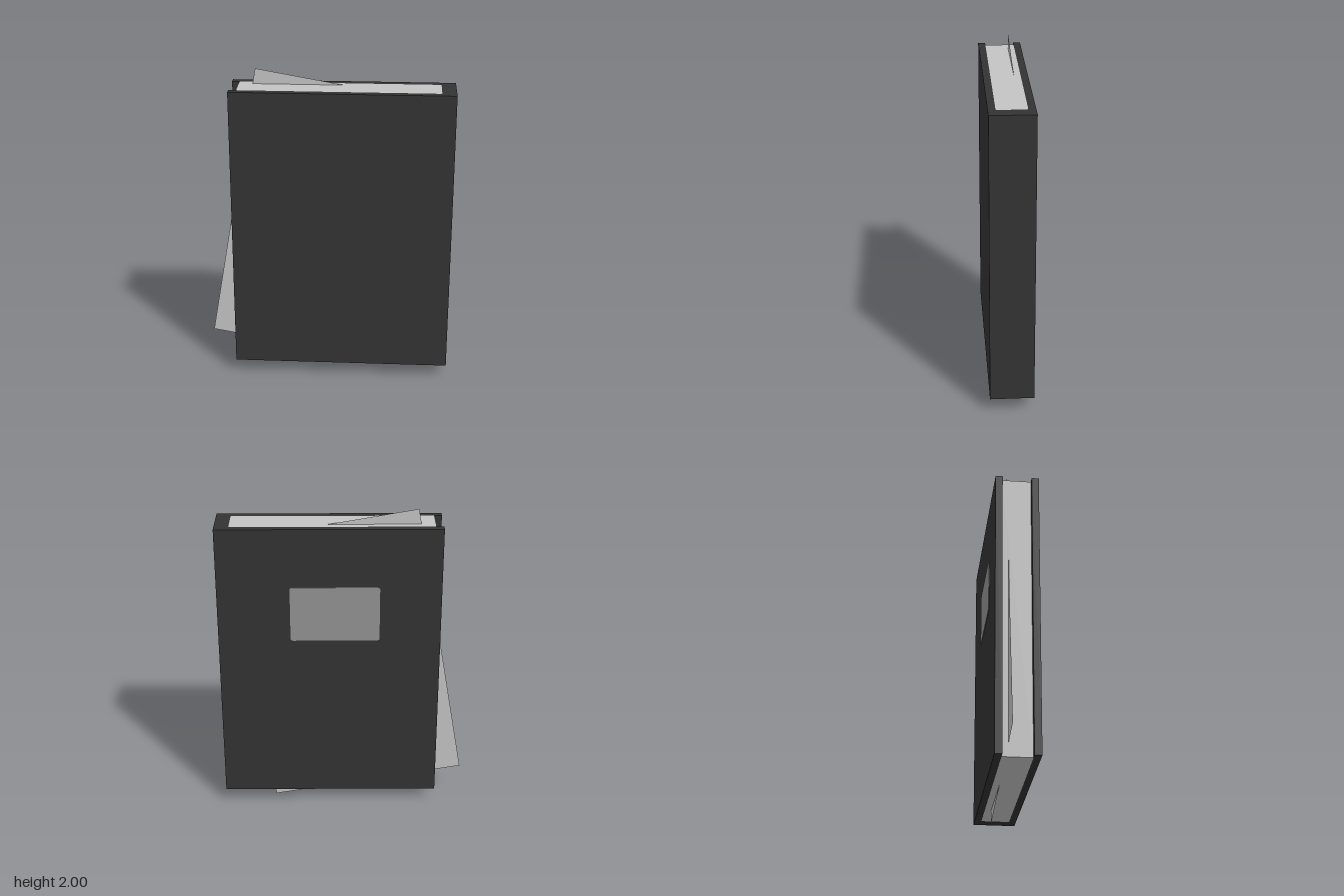
import * as THREE from 'three';

const HEIGHT = 1.814, BASE = 0.09;          // book body
const LEFT = -0.6, RIGHT = 0.76, DEPTH = 0.134;
const PAGE_LEFT = -0.555, PAGE_RIGHT = 0.672, PAGE_DEPTH = 0.09, CORNER = 0.012;

// Plan outline (x, -z) extruded upwards over the book height
function extrudeUp(shape) {
  const geo = new THREE.ExtrudeGeometry(shape, { depth: HEIGHT, bevelEnabled: false, curveSegments: 4 });
  return geo.rotateX(-Math.PI / 2).translate(0, BASE, 0);
}

// Rounded spine end shared by the page block and the inside of the cover
function spineEnd(shape) {
  shape.lineTo(PAGE_RIGHT - CORNER, -PAGE_DEPTH);
  shape.quadraticCurveTo(PAGE_RIGHT, -PAGE_DEPTH, PAGE_RIGHT, -PAGE_DEPTH + CORNER);
  shape.lineTo(PAGE_RIGHT, PAGE_DEPTH - CORNER);
  shape.quadraticCurveTo(PAGE_RIGHT, PAGE_DEPTH, PAGE_RIGHT - CORNER, PAGE_DEPTH);
}

function roundedRect(w, h, r) {
  const s = new THREE.Shape(), x = w / 2, y = h / 2;
  s.absarc(x - r, y - r, r, 0, Math.PI / 2);
  s.absarc(-x + r, y - r, r, Math.PI / 2, Math.PI);
  s.absarc(-x + r, -y + r, r, Math.PI, Math.PI * 1.5);
  s.absarc(x - r, -y + r, r, Math.PI * 1.5, Math.PI * 2);
  return s;
}

export function createModel() {
  const group = new THREE.Group();
  group.name = 'book';

  const material = (name, color, side = THREE.FrontSide) => {
    const m = new THREE.MeshStandardMaterial({ color, side });
    m.name = name;
    return m;
  };
  const coverBlack = material('coverBlack', 0x333333);
  const paper = material('paper', 0xc4c4c4, THREE.DoubleSide);
  const labelGrey = material('labelGrey', 0x939393);

  const add = (name, geometry, mat) => {
    const mesh = new THREE.Mesh(geometry, mat);
    mesh.name = name;
    group.add(mesh);
    return mesh;
  };

  // Cover: two boards joined by the spine
  const cover = new THREE.Shape();
  cover.moveTo(LEFT, -PAGE_DEPTH);
  spineEnd(cover);
  cover.lineTo(LEFT, PAGE_DEPTH);
  cover.lineTo(LEFT, DEPTH);
  cover.lineTo(RIGHT, DEPTH);
  cover.lineTo(RIGHT, -DEPTH);
  cover.lineTo(LEFT, -DEPTH);
  cover.closePath();
  add('cover', extrudeUp(cover), coverBlack);

  // Page block between the boards
  const pages = new THREE.Shape();
  pages.moveTo(PAGE_LEFT, -PAGE_DEPTH);
  spineEnd(pages);
  pages.lineTo(PAGE_LEFT, PAGE_DEPTH);
  pages.closePath();
  add('pages', extrudeUp(pages), paper);

  // Loose sheet sticking out at an angle
  const sheet = add('looseSheet', new THREE.PlaneGeometry(1.223, 1.814), paper);
  sheet.position.set(-0.008, 1.0, -0.05);
  sheet.rotation.z = -THREE.MathUtils.degToRad(10);

  // Label plate on the back board
  const labelGeo = new THREE.ExtrudeGeometry(roundedRect(0.545, 0.355, 0.015),
    { depth: 0.004, bevelEnabled: false, curveSegments: 4 });
  add('label', labelGeo, labelGrey).position.set(0.046, 1.355, -DEPTH - 0.003);

  return group;
}
